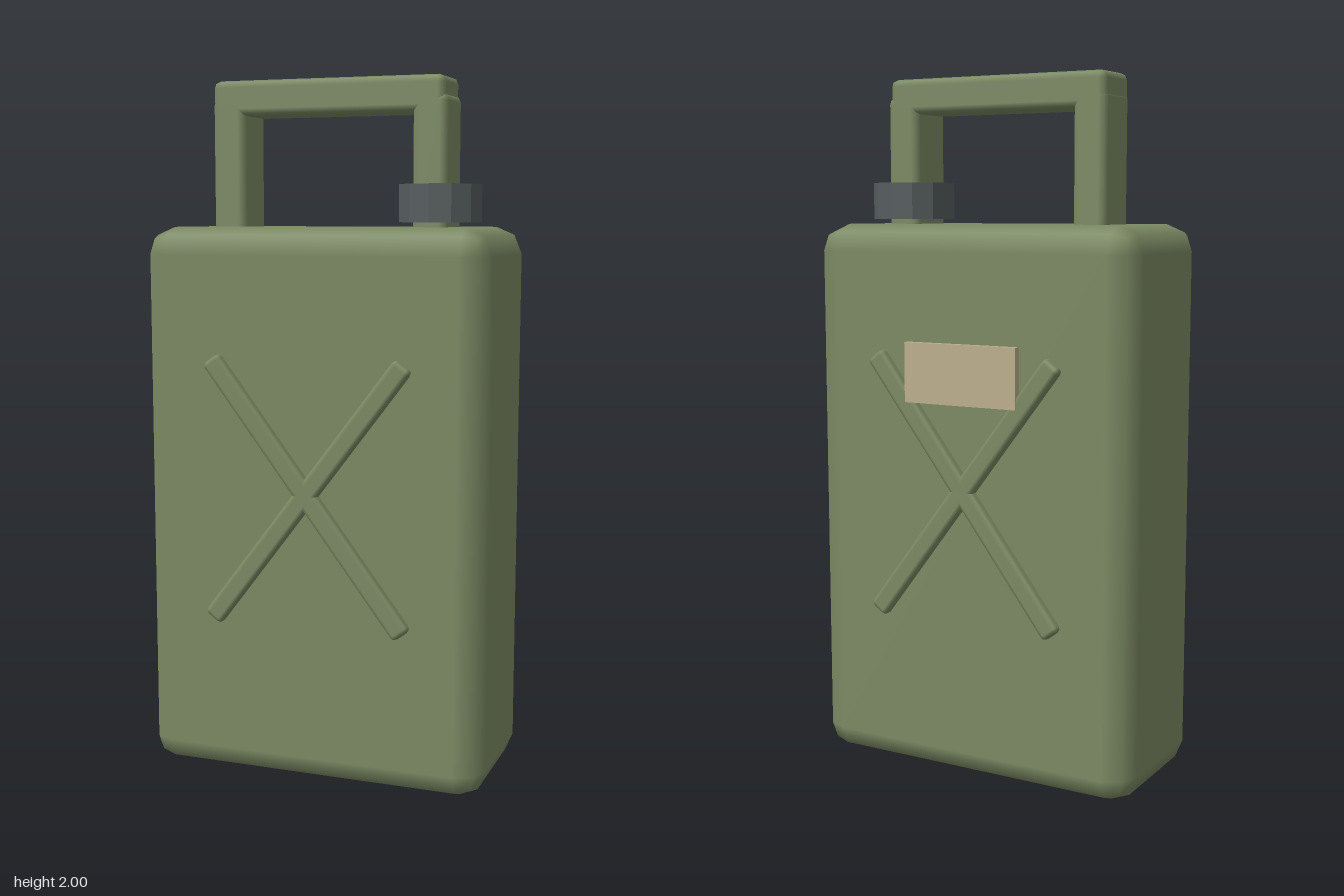
import * as THREE from 'three';
import { RoundedBoxGeometry } from 'three/addons/geometries/RoundedBoxGeometry.js';

export function createModel() {
  const model = new THREE.Group();
  model.name = 'jerryCan';

  const olive = new THREE.MeshStandardMaterial({ name: 'olive paint', color: 0x7c8a64 });
  const grey = new THREE.MeshStandardMaterial({ name: 'dark grey cap', color: 0x565d5e });
  const tan = new THREE.MeshStandardMaterial({ name: 'tan label', color: 0xbcae8e });

  function add(name, geometry, material, x, y, z) {
    const mesh = new THREE.Mesh(geometry, material);
    mesh.name = name;
    mesh.position.set(x, y, z);
    model.add(mesh);
    return mesh;
  }
  const rounded = (w, h, d, r) => new RoundedBoxGeometry(w, h, d, 1, r);

  // Can body
  add('body', rounded(1.014, 1.587, 0.48, 0.076), olive, 0, 0.7935, 0);

  // Handle: two posts and a crossbar
  for (const side of [-1, 1]) {
    add(side < 0 ? 'rightHandlePost' : 'leftHandlePost',
      rounded(0.1, 0.41, 0.16, 0.02), olive, side * 0.3, 1.745, 0);
  }
  add('handleBar', rounded(0.69, 0.1, 0.16, 0.02), olive, -0.003, 1.95, 0);

  // Filler cap around the left post
  const cap = new THREE.CylinderGeometry(0.119, 0.119, 0.105, 12).toNonIndexed();
  cap.computeVertexNormals();
  add('cap', cap, grey, 0.312, 1.653, 0);

  // Crossed stiffening ribs on front and back
  for (const face of [-1, 1]) {
    for (const lean of [-1, 1]) {
      const rib = add(face > 0 ? 'frontRib' : 'backRib',
        rounded(0.06, 0.942, 0.05, 0.014), olive, 0, 0.845, face * 0.24);
      rib.rotation.z = lean * Math.atan2(0.57, 0.75);
    }
  }

  // Label plate on the back
  add('labelPlate', new THREE.BoxGeometry(0.356, 0.17, 0.021), tan, 0, 1.175, -0.2555);

  return model;
}
